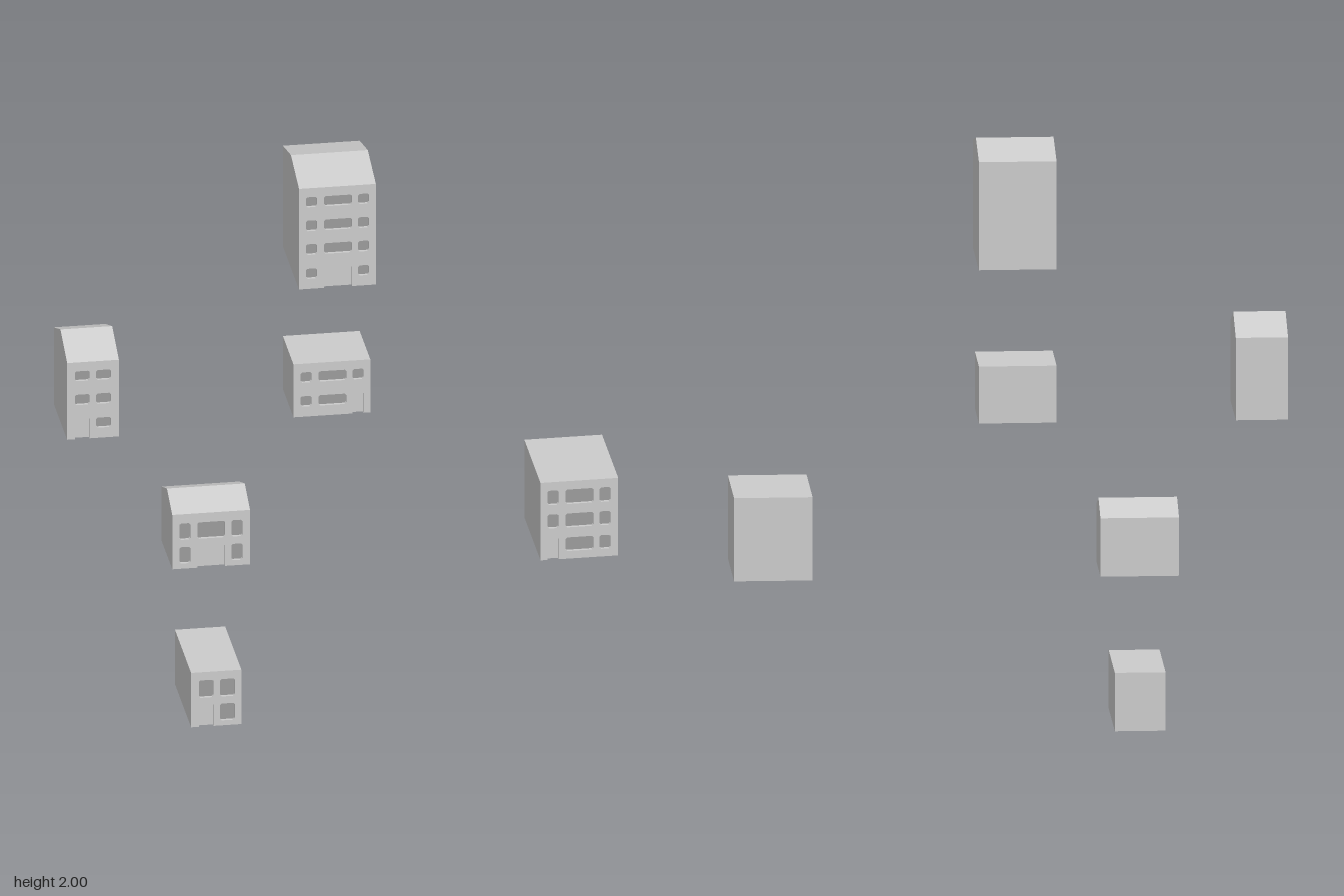
import * as THREE from 'three';

const RECESS = 0.012;
const wall = new THREE.MeshStandardMaterial({ color: 0xcccccc, flatShading: true });
const glass = new THREE.MeshStandardMaterial({ color: 0x9b9b9b, flatShading: true });

// x, y: left and bottom; cols: [offset, width] of openings; rows: [offset, height], lowest first
// eave: wall height; ridge: roof rise (0 is flat); door: column of the door
const threeBays = [[0.024, 0.037], [0.085, 0.094], [0.2, 0.037]];
const twoBays = [[0.026, 0.05], [0.098, 0.05]];
const BUILDINGS = [
  { name: 'tallHouse', x: -0.155, y: 1.585, w: 0.26, eave: 0.37, ridge: 0.045, front: 0.175,
    cols: threeBays, rows: [[0.037, 0.037], [0.125, 0.039], [0.212, 0.039], [0.3, 0.037]], door: 1 },
  { name: 'narrowHouse', x: -0.93, y: 1.06, w: 0.175, eave: 0.282, ridge: 0.058, front: 0.115,
    cols: twoBays, rows: [[0.037, 0.037], [0.125, 0.038], [0.213, 0.036]], door: 0 },
  { name: 'lowFlatHouse', x: -0.155, y: 1.06, w: 0.26, eave: 0.195, ridge: 0, front: 0.055,
    cols: threeBays, rows: [[0.037, 0.038], [0.125, 0.038]], door: 2 },
  { name: 'cottage', x: -0.565, y: 0.53, w: 0.263, eave: 0.2, ridge: 0.045, front: 0.055,
    cols: threeBays, rows: [[0.019, 0.06], [0.106, 0.06]], door: 1 },
  { name: 'wideFlatHouse', x: 0.662, y: 0.53, w: 0.263, eave: 0.285, ridge: 0, front: 0.175,
    cols: threeBays, rows: [[0.028, 0.05], [0.115, 0.051], [0.201, 0.053]], door: 0 },
  { name: 'smallFlatHouse', x: -0.52, y: 0, w: 0.17, eave: 0.2, ridge: 0, front: 0.175,
    cols: twoBays, rows: [[0.018, 0.062], [0.106, 0.064]], door: 0 },
];
const BACK = -0.175;

// Rectangle with cut corners
function windowPoints(x, y, w, h, c = 0.005) {
  return [[x + c, y], [x + w - c, y], [x + w, y + c], [x + w, y + h - c],
    [x + w - c, y + h], [x + c, y + h], [x, y + h - c], [x, y + c]]
    .map(([a, b]) => new THREE.Vector2(a, b));
}

function toShape(points) {
  return new THREE.Shape(points.map(([a, b]) => new THREE.Vector2(a, b)));
}

function createBuilding(b) {
  const group = new THREE.Group();
  group.name = b.name;
  group.position.set(b.x, b.y, 0);
  const add = (name, geometry, material) => {
    const mesh = new THREE.Mesh(geometry, material);
    mesh.name = name;
    group.add(mesh);
  };
  const inner = b.front - RECESS;

  // Body: side profile with optional gable, swept across the width
  const profile = [[-inner, 0], [-BACK, 0], [-BACK, b.eave]];
  if (b.ridge) {
    profile.push([-(b.front + BACK) / 2, b.eave + b.ridge], [-b.front, b.eave]);
  }
  profile.push([-inner, b.eave]);
  const body = new THREE.ExtrudeGeometry(toShape(profile), { depth: b.w, bevelEnabled: false });
  body.rotateY(Math.PI / 2);
  add('body', body, wall);

  // Facade: wall sheet with a door notch and window holes
  const [dx, dw] = b.cols[b.door];
  const doorTop = b.rows[0][0] + b.rows[0][1];
  const c = 0.003;
  const facade = toShape([[0, 0], [dx, 0], [dx, doorTop - c], [dx + c, doorTop],
    [dx + dw - c, doorTop], [dx + dw, doorTop - c], [dx + dw, 0],
    [b.w, 0], [b.w, b.eave], [0, b.eave]]);
  const panes = [];
  b.rows.forEach(([wy, wh], row) => b.cols.forEach(([wx, ww], col) => {
    if (row === 0 && col === b.door) return;
    const points = windowPoints(wx, wy, ww, wh);
    facade.holes.push(new THREE.Path(points));
    panes.push(new THREE.Shape(points));
  }));
  const front = new THREE.ExtrudeGeometry(facade, { depth: RECESS, bevelEnabled: false });
  front.translate(0, 0, inner);
  add('facade', front, wall);

  // Window panes at the back of each recess
  const paneGeometry = new THREE.ShapeGeometry(panes);
  paneGeometry.translate(0, 0, inner + 0.001);
  add('windowPanes', paneGeometry, glass);
  return group;
}

export function createModel() {
  const model = new THREE.Group();
  model.name = 'houses';
  BUILDINGS.forEach((b) => model.add(createBuilding(b)));
  return model;
}
